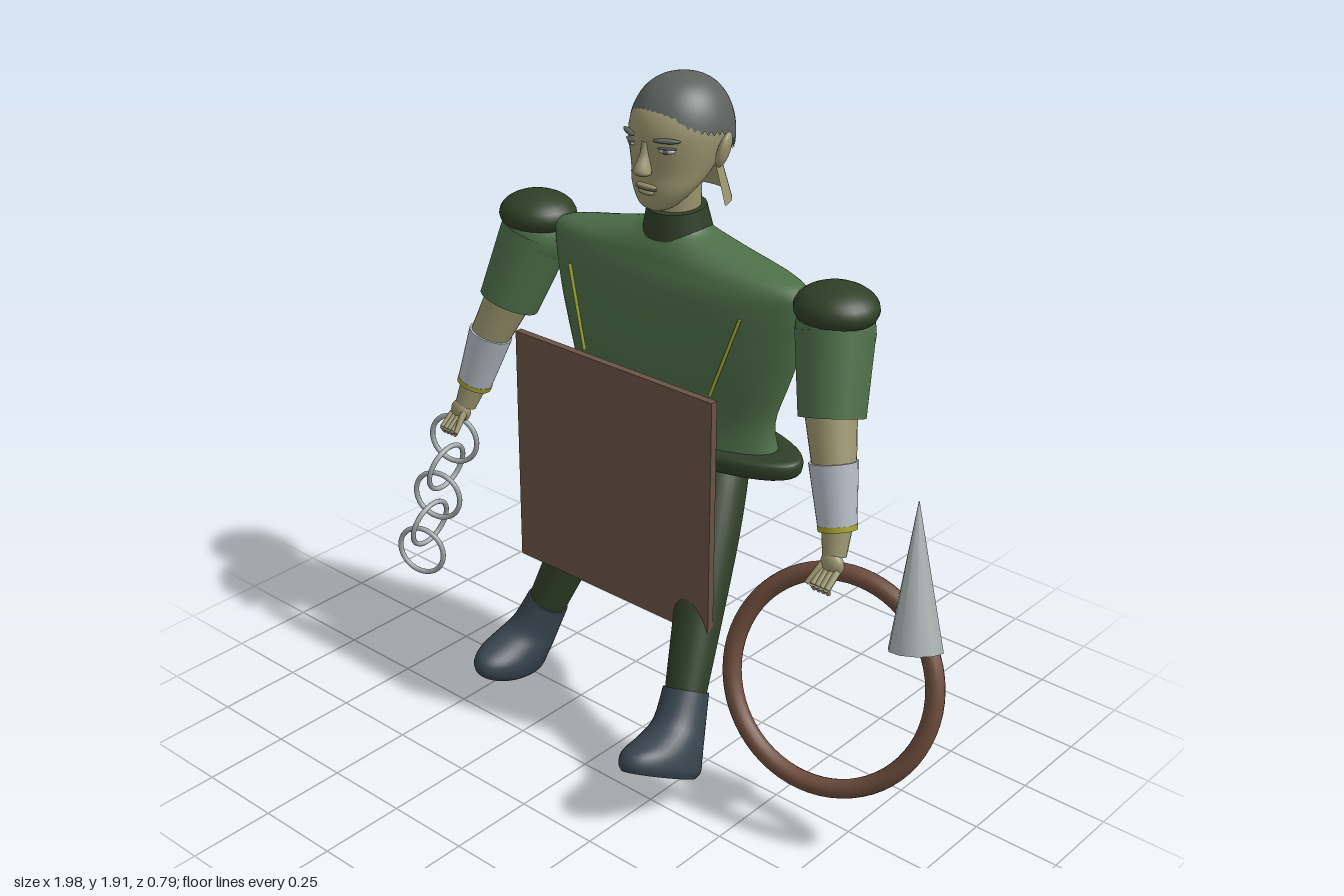
import * as THREE from 'three';

const mat = (name, color, side = THREE.FrontSide) => {
  const m = new THREE.MeshStandardMaterial({ color, side });
  m.name = name;
  return m;
};
const V = (x, y, z) => new THREE.Vector3(x, y, z);
const CX = -0.073; // mirror axis of the body

// Smooth loft of ellipses; each section is [y, centreZ, radiusX, radiusZ], rising in y
function loft(sections, n = 32, steps = 4) {
  const rows = [];
  const last = sections.length - 1;
  for (let k = 0; k <= last * steps; k++) {
    const i = Math.min(Math.floor(k / steps), last - 1), t = k / steps - i;
    const at = (j) => sections[Math.max(0, Math.min(last, j))];
    rows.push(at(i).map((b, c) => {
      const a = at(i - 1)[c], d = at(i + 1)[c], e = at(i + 2)[c];
      return b + 0.5 * t * (d - a + t * (2 * a - 5 * b + 4 * d - e + t * (3 * (b - d) + e - a)));
    }));
  }
  const pos = [], idx = [];
  const ring = ([y, cz, rx, rz]) => {
    for (let j = 0; j < n; j++) {
      const a = (j / n) * Math.PI * 2;
      pos.push(rx * Math.sin(a), y, cz + rz * Math.cos(a));
    }
  };
  rows.forEach(ring);
  for (let i = 0; i < rows.length - 1; i++) for (let j = 0; j < n; j++) {
    const a = i * n + j, b = i * n + (j + 1) % n;
    idx.push(a, b, b + n, a, b + n, a + n);
  }
  for (const top of [false, true]) {
    const r = top ? rows[rows.length - 1] : rows[0], base = pos.length / 3;
    ring(r);
    pos.push(0, r[0], r[1]);
    for (let j = 0; j < n; j++) {
      const a = base + j, b = base + (j + 1) % n;
      idx.push(base + n, top ? a : b, top ? b : a);
    }
  }
  const g = new THREE.BufferGeometry();
  g.setAttribute('position', new THREE.Float32BufferAttribute(pos, 3));
  g.setIndex(idx);
  g.computeVertexNormals();
  return g;
}

export function createModel() {
  const model = new THREE.Group();
  const green = mat('tunic green', 0x4d6e48), dark = mat('dark green', 0x2f3f27);
  const skin = mat('skin', 0x9a946e, THREE.DoubleSide), hair = mat('hair grey', 0x5d625f, THREE.DoubleSide);
  const boot = mat('boot slate', 0x38444e), brown = mat('board brown', 0x6a5343);
  const hoopBrown = mat('hoop brown', 0x6c4b3b), white = mat('bracer white', 0xb4bac4);
  const metal = mat('metal grey', 0xa3abab), olive = mat('yellow trim', 0xa3a32e);

  const add = (name, geo, m, p = [0, 0, 0], parent = model) => {
    const mesh = new THREE.Mesh(geo, m);
    mesh.name = name;
    mesh.position.set(...p);
    parent.add(mesh);
    return mesh;
  };
  const ball = (name, m, p, s, parent) => {
    const b = add(name, new THREE.SphereGeometry(1, 24, 16), m, p, parent);
    b.scale.set(...s);
    return b;
  };
  // Tapered cylinder from point a to point b
  const limb = (name, m, a, b, ra, rb, sides = 24, parent = model) => {
    const d = b.clone().sub(a);
    const mesh = add(name, new THREE.CylinderGeometry(rb, ra, d.length(), sides), m,
      a.clone().add(b).multiplyScalar(0.5).toArray(), parent);
    mesh.quaternion.setFromUnitVectors(V(0, 1, 0), d.normalize());
    return mesh;
  };

  // Tunic, hem and collar
  add('tunic', loft([[0.92, -0.21, 0.38, 0.125], [1.02, -0.21, 0.355, 0.12], [1.15, -0.222, 0.39, 0.145],
    [1.25, -0.227, 0.42, 0.15], [1.38, -0.225, 0.443, 0.137], [1.44, -0.225, 0.43, 0.118],
    [1.475, -0.225, 0.28, 0.105], [1.51, -0.225, 0.13, 0.085], [1.53, -0.225, 0.09, 0.075]], 48), green, [CX, 0, 0]);
  add('hem', loft([[0.892, -0.21, 0.425, 0.13], [0.905, -0.21, 0.447, 0.148], [0.935, -0.21, 0.452, 0.15],
    [0.95, -0.21, 0.435, 0.138], [0.952, -0.21, 0.36, 0.11]], 48), dark, [CX, 0, 0]);
  add('hemUnderside', loft([[0.885, -0.21, 0.4, 0.12], [0.893, -0.21, 0.41, 0.125]], 48, 1), brown, [CX, 0, 0]);
  limb('collar', dark, V(CX, 1.505, -0.225), V(CX, 1.578, -0.22), 0.098, 0.083);
  for (const s of [-1, 1]) {
    limb('chestPiping', olive, V(CX + s * 0.307, 1.355, -0.118), V(CX + s * 0.23, 1.12, -0.093), 0.005, 0.005, 6);
  }

  // Head
  const head = new THREE.Group();
  head.name = 'head';
  head.position.x = CX;
  model.add(head);
  add('face', loft([[1.588, -0.135, 0.025, 0.02], [1.605, -0.145, 0.058, 0.048], [1.65, -0.17, 0.095, 0.078],
    [1.7, -0.203, 0.115, 0.108], [1.76, -0.225, 0.129, 0.137], [1.81, -0.232, 0.13, 0.145],
    [1.86, -0.235, 0.114, 0.128], [1.9, -0.235, 0.075, 0.08]], 40), skin, [0, 0, 0], head);
  add('nose', loft([[1.692, -0.085, 0.012, 0.012], [1.7, -0.08, 0.025, 0.023], [1.715, -0.08, 0.022, 0.027],
    [1.75, -0.088, 0.012, 0.015], [1.785, -0.092, 0.01, 0.01]], 16), skin, [0, 0, 0], head);
  limb('neck', skin, V(0, 1.54, -0.222), V(0, 1.72, -0.228), 0.065, 0.065, 24, head);
  add('napeFlap', new THREE.CylinderGeometry(0.1, 0.137, 0.13, 24, 1, true, Math.PI / 2 + 0.15, Math.PI - 0.3),
    skin, [0, 1.657, -0.24], head);
  ball('upperLip', skin, [0, 1.661, -0.096], [0.036, 0.008, 0.012], head);
  ball('mouthLine', hair, [0, 1.654, -0.094], [0.036, 0.003, 0.011], head);
  ball('lowerLip', skin, [0, 1.645, -0.098], [0.028, 0.009, 0.013], head);
  for (const s of [-1, 1]) {
    const ear = ball('ear', skin, [s * 0.142, 1.755, -0.243], [0.016, 0.05, 0.034], head);
    ear.rotation.set(-0.15, s * 0.4, -s * 0.2);
    const parts = [
      ball('eye', white, [s * 0.063, 1.766, -0.106], [0.022, 0.007, 0.007], head),
      ball('iris', hair, [s * 0.062, 1.766, -0.1], [0.008, 0.007, 0.004], head),
      ball('eyelid', hair, [s * 0.064, 1.774, -0.104], [0.026, 0.003, 0.008], head),
      ball('eyebrow', hair, [s * 0.066, 1.796, -0.1], [0.037, 0.007, 0.009], head),
    ];
    parts.forEach((p) => { p.rotation.y = s * 0.52; });
  }

  // Cropped hair: a dome whose lower edge falls from the forehead to the nape
  const dome = new THREE.SphereGeometry(1, 48, 20);
  const dp = dome.attributes.position, uv = dome.attributes.uv;
  for (let i = 0; i < dp.count; i++) {
    const a = uv.getX(i) * Math.PI * 2, c = Math.cos(a);
    const edge = Math.acos(c > 0 ? 0.12 + 0.4 * c * c : 0.12 + 0.64 * c);
    const t = (1 - uv.getY(i)) * edge, r = Math.pow(Math.max(0, Math.sin(t)), 0.82);
    dp.setXYZ(i, 0.139 * r * Math.sin(a), 1.776 + 0.16 * Math.cos(t), -0.24 + 0.151 * r * c);
  }
  dome.computeVertexNormals();
  add('hair', dome, hair, [0, 0, 0], head);

  // Arms
  for (const s of [-1, 1]) {
    const arm = new THREE.Group();
    arm.name = s < 0 ? 'rightArm' : 'leftArm';
    arm.position.x = CX;
    model.add(arm);
    const P = (o, y, z) => V(s * o, y, z);
    ball('shoulderCap', dark, [s * 0.537, 1.422, -0.23], [0.116, 0.064, 0.11], arm);
    ball('shoulder', green, [s * 0.54, 1.355, -0.225], [0.108, 0.11, 0.106], arm);
    limb('sleeve', green, P(0.54, 1.36, -0.225), P(0.592, 1.15, -0.155), 0.107, 0.09, 24, arm);
    limb('forearm', skin, P(0.588, 1.17, -0.155), P(0.64, 1.03, -0.11), 0.07, 0.058, 24, arm);
    limb('bracer', white, P(0.632, 1.05, -0.115), P(0.677, 0.885, -0.083), 0.066, 0.052, 24, arm);
    limb('bracerTrim', olive, P(0.675, 0.892, -0.085), P(0.679, 0.878, -0.082), 0.054, 0.053, 24, arm);
    limb('wrist', skin, P(0.676, 0.89, -0.083), P(0.692, 0.815, -0.055), 0.042, 0.032, 16, arm);
    ball('palm', skin, [s * 0.697, 0.8, -0.04], [0.035, 0.035, 0.024], arm);
    for (let f = 0; f < 4; f++) {
      const o = 0.677 + f * 0.015;
      limb('finger', skin, P(o, 0.79, -0.03), P(o, 0.755, 0.015), 0.01, 0.009, 8, arm);
      limb('fingertip', skin, P(o, 0.757, 0.015), P(o, 0.738, 0.005), 0.009, 0.006, 8, arm);
    }
    limb('thumb', skin, P(0.675, 0.8, -0.03), P(0.66, 0.755, 0.02), 0.011, 0.007, 8, arm);
  }

  // Legs with boots, each aimed from hip to ankle
  for (const [name, hip, ankle] of [
    ['rightLeg', V(-0.23, 0.865, -0.215), V(-0.44, 0.22, -0.03)],
    ['leftLeg', V(0.12, 0.875, -0.205), V(0.272, 0.28, 0.14)],
  ]) {
    const leg = new THREE.Group();
    leg.name = name;
    leg.position.copy(hip);
    const up = hip.clone().sub(ankle).normalize();
    const side = up.clone().cross(V(0, 0, 1)).normalize();
    leg.quaternion.setFromRotationMatrix(new THREE.Matrix4().makeBasis(side, up, side.clone().cross(up)));
    model.add(leg);
    add('trouserLeg', loft([[-0.7, 0, 0.056, 0.056], [-0.45, 0, 0.07, 0.068], [-0.2, 0, 0.08, 0.078],
      [-0.02, 0, 0.076, 0.076], [0.015, 0, 0.06, 0.06]]), dark, [0, 0, 0], leg);
    add('boot', loft([[-0.89, 0.055, 0.066, 0.135], [-0.87, 0.055, 0.078, 0.148], [-0.835, 0.052, 0.08, 0.14],
      [-0.79, 0.025, 0.076, 0.105], [-0.74, 0.005, 0.069, 0.078], [-0.65, 0, 0.064, 0.066]]), boot, [0, 0, 0], leg);
  }

  // Board in front of the body
  add('board', new THREE.BoxGeometry(0.715, 0.715, 0.022), brown, [-0.072, 0.832, 0.043]);

  // Chain in the right hand
  const chain = new THREE.Group();
  chain.name = 'chain';
  model.add(chain);
  for (let i = 0; i < 5; i++) {
    const c = V(-0.81, 0.69, -0.045).lerp(V(-0.915, 0.285, 0.02), i / 4);
    const link = add('chainLink', new THREE.TorusGeometry(0.077, 0.008, 10, 36), metal, c.toArray(), chain);
    link.rotation.set(0, i % 2 ? Math.PI / 2 + 0.1 : 0.3, i % 2 ? -0.25 : 0, 'ZYX');
  }

  // Tilted hoop and spike in the left hand
  const u = V(0.29, 0, -0.055).normalize(), w = V(0, 0.28, -0.095);
  w.addScaledVector(u, -w.dot(u)).normalize();
  const hoop = add('hoop', new THREE.TorusGeometry(0.292, 0.026, 14, 64), hoopBrown, [0.676, 0.49, 0.013]);
  hoop.quaternion.setFromRotationMatrix(new THREE.Matrix4().makeBasis(u, w, u.clone().cross(w)));
  limb('spike', metal, V(0.885, 0.635, -0.06), V(0.803, 1.005, -0.155), 0.074, 0.001, 10);

  return model;
}
